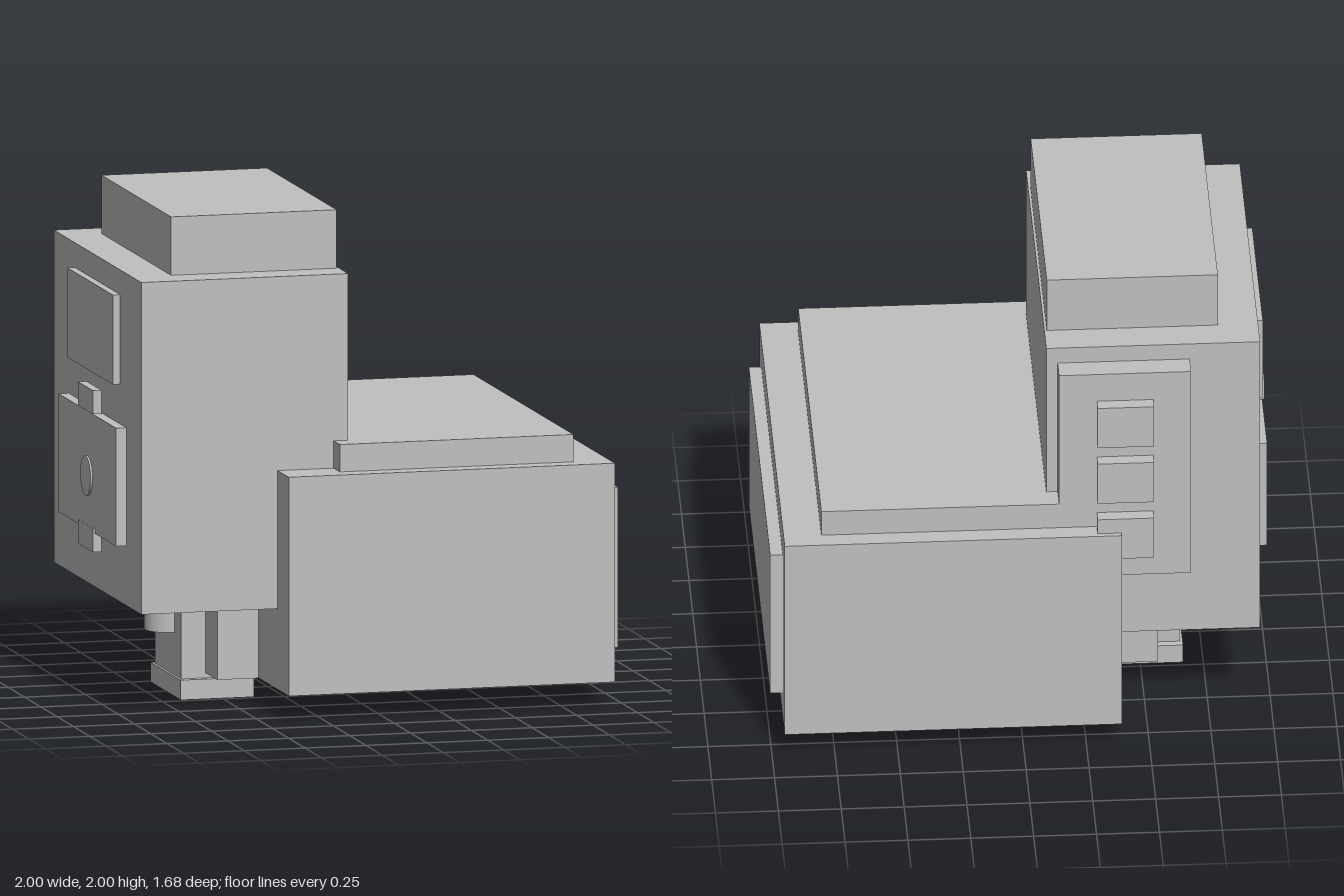
import * as THREE from 'three';

export function createModel() {
  const model = new THREE.Group();
  model.name = 'machine';
  const grey = new THREE.MeshStandardMaterial({ color: 0xc0c0c0 });
  grey.name = 'light grey';

  const add = (name, geometry, x, y, z) => {
    const mesh = new THREE.Mesh(geometry, grey);
    mesh.name = name;
    mesh.position.set(x, y, z);
    model.add(mesh);
    return mesh;
  };
  // Box given by its limits on each axis
  const box = (name, [x0, x1], [y0, y1], [z0, z1]) =>
    add(name, new THREE.BoxGeometry(x1 - x0, y1 - y0, z1 - z0),
      (x0 + x1) / 2, (y0 + y1) / 2, (z0 + z1) / 2);

  // Tower with its cap
  box('tower', [-0.95, -0.1], [0.425, 1.76], [-0.67, 0.67]);
  box('towerCap', [-0.79, -0.11], [1.76, 1.995], [-0.535, 0.53]);

  // Low cabinet with lid and end panel
  box('cabinet', [-0.39, 0.95], [0.1, 0.98], [-0.84, 0.84]);
  box('cabinetLid', [-0.16, 0.8], [0.98, 1.09], [-0.765, 0.765]);
  box('endPanel', [0.95, 1], [0.215, 0.86], [-0.71, 0.705]);

  // Control plate with three buttons on the back of the tower
  box('controlPlate', [-0.67, -0.145], [0.75, 1.69], [-0.765, -0.67]);
  for (const y of [0.86, 1.12, 1.38])
    box('button', [-0.52, -0.295], [y, y + 0.185], [-0.82, -0.765]);

  // Panels, latches and dial on the outer side of the tower
  box('upperPanel', [-0.98, -0.95], [1.3, 1.66], [-0.35, 0.345]);
  box('doorPanel', [-0.992, -0.95], [0.665, 1.14], [-0.44, 0.44]);
  for (const y of [0.59, 1.145])
    box('latch', [-1, -0.965], [y, y + 0.095], [-0.115, 0.115]);
  add('dial', new THREE.CylinderGeometry(0.08, 0.08, 0.02, 32), -0.99, 0.88, 0)
    .rotation.z = Math.PI / 2;

  // Support beneath the tower
  box('neck', [-0.66, -0.39], [0.08, 0.425], [-0.2, 0.2]);
  box('foot', [-0.67, -0.37], [0, 0.08], [-0.23, 0.23]);
  box('sideBlock', [-0.56, -0.39], [0.1, 0.4], [-0.38, 0.38]);
  add('spout', new THREE.CylinderGeometry(0.1, 0.1, 0.15, 32), -0.655, 0.325, 0);

  return model;
}
